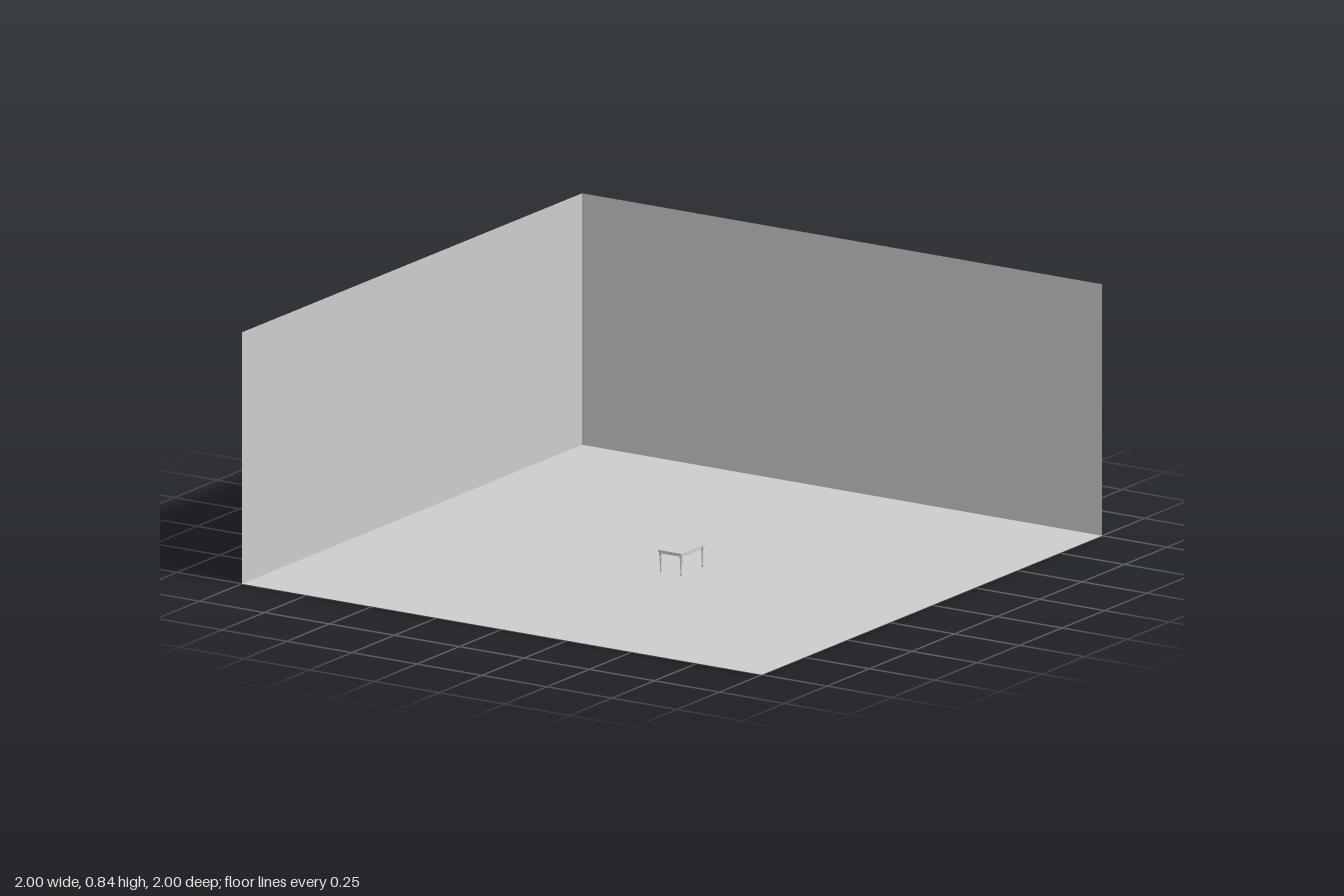
import * as THREE from 'three';

const WALL_H = 0.84;
const TABLE = { x: 0.09, z: 0.081, w: 0.092, d: 0.14, h: 0.075 };

function add(parent, name, geometry, x, y, z, material) {
  const mesh = new THREE.Mesh(geometry, material);
  mesh.name = name;
  mesh.position.set(x, y, z);
  parent.add(mesh);
  return mesh;
}

// Apron board with a gently scalloped lower edge, centred on its length
function apronGeometry(length, dip) {
  const h = length / 2, t = 0.003;
  const s = new THREE.Shape();
  s.moveTo(-h, 0);
  s.lineTo(-h, -0.006);
  s.lineTo(-h * 0.5, -0.006);
  s.quadraticCurveTo(-h * 0.3, -0.006 - dip * 2, 0, -0.006);
  s.quadraticCurveTo(h * 0.3, -0.006 - dip * 2, h * 0.5, -0.006);
  s.lineTo(h, -0.006);
  s.lineTo(h, 0);
  s.closePath();
  const g = new THREE.ExtrudeGeometry(s, { depth: t, bevelEnabled: false, curveSegments: 6 });
  return g.translate(0, 0, -t / 2);
}

function createTable(material) {
  const table = new THREE.Group();
  table.name = 'table';
  table.position.set(TABLE.x, 0, TABLE.z);
  const topT = 0.006, under = TABLE.h - topT;
  add(table, 'tableTop', new THREE.BoxGeometry(TABLE.w, topT, TABLE.d), 0, TABLE.h - topT / 2, 0, material);

  // Turned legs with a square block at the top
  const profile = [[0, 0], [0.0025, 0], [0.0035, 0.004], [0.002, 0.009], [0.0025, 0.02],
    [0.0038, 0.045], [0.0025, 0.05], [0.004, 0.053], [0.003, 0.057], [0, 0.057]];
  const legGeo = new THREE.LatheGeometry(profile.map(([r, y]) => new THREE.Vector2(r, y)), 12);
  const blockGeo = new THREE.BoxGeometry(0.008, under - 0.056, 0.008);
  const lx = TABLE.w / 2 - 0.007, lz = TABLE.d / 2 - 0.007;
  for (const sx of [-1, 1]) {
    for (const sz of [-1, 1]) {
      add(table, 'leg', legGeo, sx * lx, 0, sz * lz, material);
      add(table, 'legBlock', blockGeo, sx * lx, (under + 0.056) / 2, sz * lz, material);
    }
  }

  // Straight aprons on the short sides, scalloped ones on the long sides
  const shortApron = apronGeometry(2 * lx, 0);
  const longApron = apronGeometry(2 * lz, 0.003);
  for (const s of [-1, 1]) {
    add(table, 'shortApron', shortApron, 0, under, s * lz, material);
    add(table, 'longApron', longApron, s * lx, under, 0, material).rotation.y = Math.PI / 2;
  }
  return table;
}

export function createModel() {
  const model = new THREE.Group();
  model.name = 'roomCorner';
  const grey = new THREE.MeshStandardMaterial({ color: 0xcccccc });
  const thin = new THREE.MeshStandardMaterial({ color: 0xcccccc, side: THREE.DoubleSide });

  // Floor and the two adjoining walls
  add(model, 'floor', new THREE.PlaneGeometry(2, 2), 0, 0, 0, thin).rotation.x = -Math.PI / 2;
  const wall = new THREE.PlaneGeometry(2, WALL_H);
  add(model, 'backWall', wall, 0, WALL_H / 2, -1, thin);
  add(model, 'sideWall', wall, -1, WALL_H / 2, 0, thin).rotation.y = Math.PI / 2;

  model.add(createTable(grey));
  return model;
}
